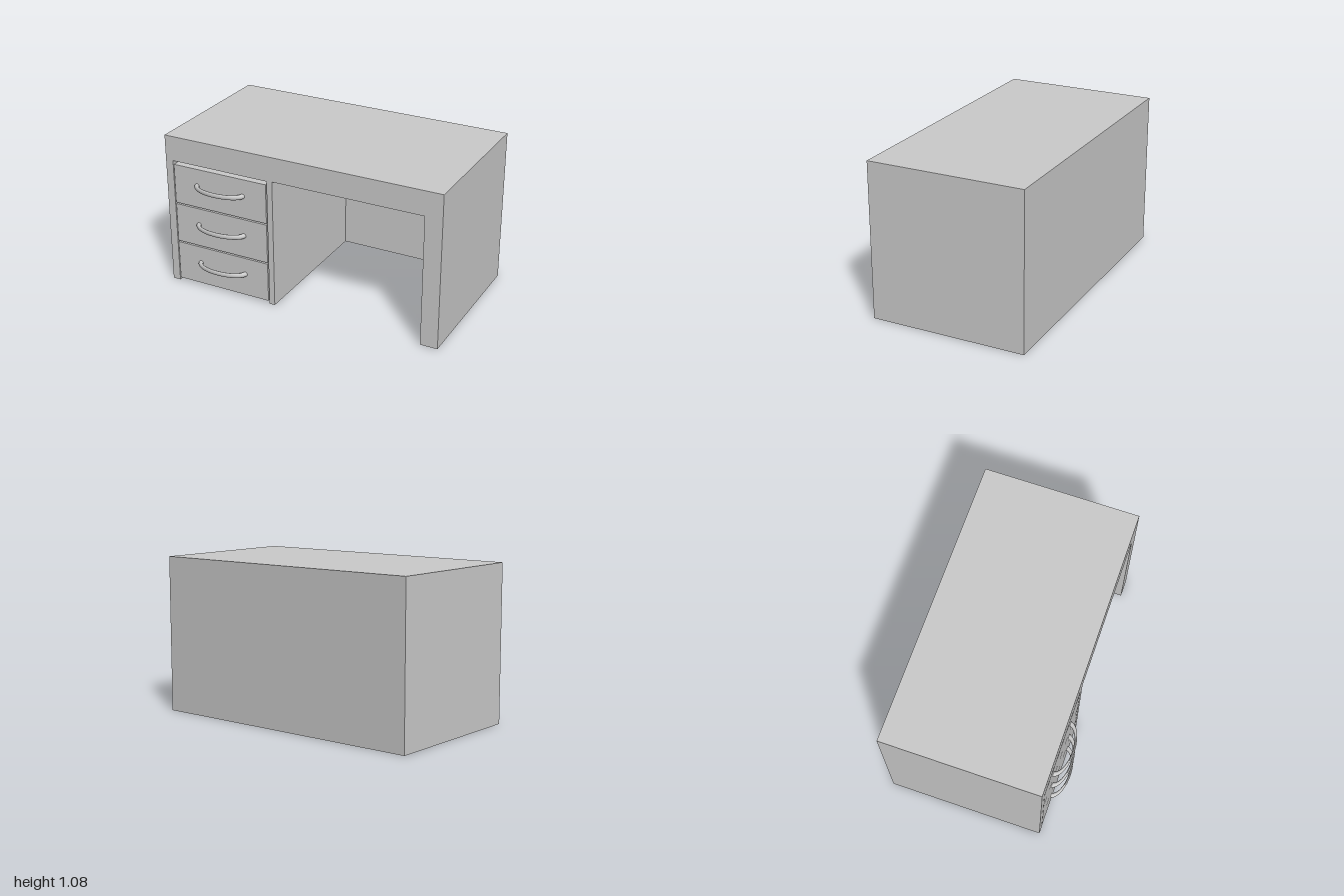
import * as THREE from 'three';

const HEIGHT = 1.08, FRONT = 0.497, BACK = -0.58;
const BAY = { left: -0.945, right: -0.225, top: 0.905, back: -0.57 };   // drawer opening
const KNEE = { left: -0.185, right: 0.88, top: 0.91, back: -0.55 };     // leg space

const shell = new THREE.MeshStandardMaterial({ color: 0xcccccc, side: THREE.DoubleSide });
const solid = new THREE.MeshStandardMaterial({ color: 0xcccccc });

function addMesh(parent, name, geometry, material, x = 0, y = 0, z = 0) {
  const mesh = new THREE.Mesh(geometry, material);
  mesh.name = name;
  mesh.position.set(x, y, z);
  parent.add(mesh);
  return mesh;
}

// Thin panels: upright facing sideways, upright facing front/back, and level
function sidePanel(parent, name, x, height, back) {
  const g = new THREE.PlaneGeometry(FRONT - back, height).rotateY(x > 0 ? Math.PI / 2 : -Math.PI / 2);
  addMesh(parent, name, g, shell, x, height / 2, (FRONT + back) / 2);
}
function crossPanel(parent, name, left, right, height, z) {
  const g = new THREE.PlaneGeometry(right - left, height);
  if (name === 'backPanel') g.rotateY(Math.PI);
  addMesh(parent, name, g, shell, (left + right) / 2, height / 2, z);
}
function levelPanel(parent, name, left, right, y, back) {
  const g = new THREE.PlaneGeometry(right - left, FRONT - back).rotateX(-Math.PI / 2);
  addMesh(parent, name, g, shell, (left + right) / 2, y, (FRONT + back) / 2);
}

// Inner walls of an opening in the front
function lining(parent, name, o) {
  const group = new THREE.Group();
  group.name = name;
  sidePanel(group, name + 'RightWall', o.left, o.top, o.back);
  sidePanel(group, name + 'LeftWall', o.right, o.top, o.back);
  levelPanel(group, name + 'Ceiling', o.left, o.right, o.top, o.back);
  crossPanel(group, name + 'Back', o.left, o.right, o.top, o.back);
  parent.add(group);
}

export function createModel() {
  const desk = new THREE.Group();
  desk.name = 'desk';

  // Outer shell, open underneath
  levelPanel(desk, 'desktop', -1, 1, HEIGHT, BACK);
  sidePanel(desk, 'rightSide', -1, HEIGHT, BACK);
  sidePanel(desk, 'leftSide', 1, HEIGHT, BACK);
  crossPanel(desk, 'backPanel', -1, 1, HEIGHT, BACK);

  // Front frame with both openings reaching the floor
  const outline = [
    [-1, 0], [BAY.left, 0], [BAY.left, BAY.top], [BAY.right, BAY.top], [BAY.right, 0],
    [KNEE.left, 0], [KNEE.left, KNEE.top], [KNEE.right, KNEE.top], [KNEE.right, 0],
    [1, 0], [1, HEIGHT], [-1, HEIGHT],
  ].map(([x, y]) => new THREE.Vector2(x, y));
  addMesh(desk, 'frontFrame', new THREE.ShapeGeometry(new THREE.Shape(outline)), shell, 0, 0, FRONT);

  lining(desk, 'drawerBay', BAY);
  lining(desk, 'kneeSpace', KNEE);

  // Three drawers with bowed handles
  const depth = FRONT + 0.565;
  const boxGeometry = new THREE.BoxGeometry(0.705, 0.28, depth);
  const handleGeometry = new THREE.TorusGeometry(0.176, 0.017, 16, 40, Math.PI)
    .rotateX(Math.PI / 2).scale(1, 1, 0.46);
  for (let i = 0; i < 3; i++) {
    const drawer = new THREE.Group();
    drawer.name = 'drawer' + (i + 1);
    drawer.position.set(-0.586, 0.16 + i * 0.29, 0);
    addMesh(drawer, 'drawerBox', boxGeometry, solid, 0, 0, FRONT - depth / 2);
    addMesh(drawer, 'handle', handleGeometry, solid, 0, 0.019, 0.491);
    desk.add(drawer);
  }
  return desk;
}
